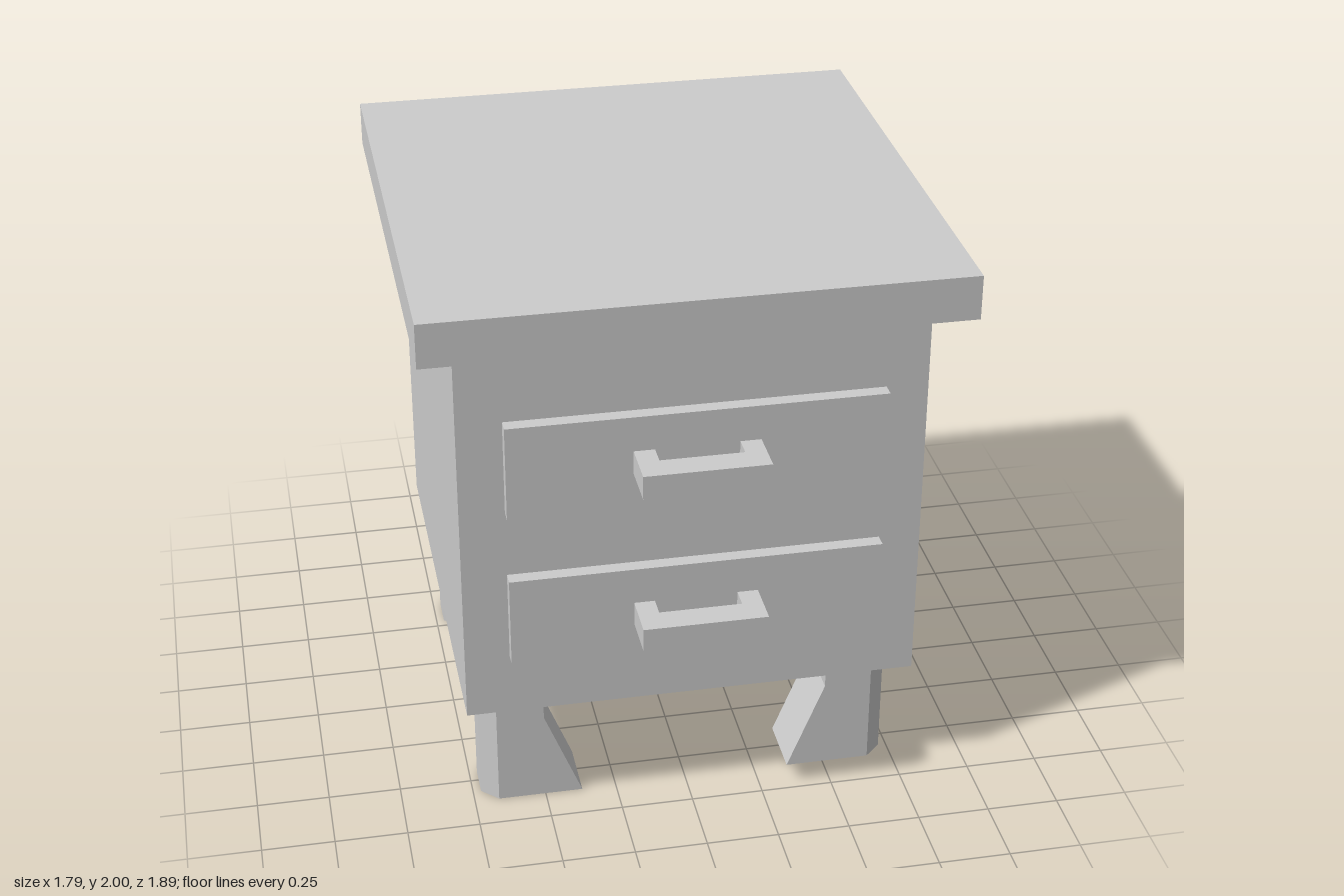
import * as THREE from 'three';

const material = new THREE.MeshStandardMaterial({ color: 0xcccccc, flatShading: true });

function addMesh(parent, name, geometry) {
  const mesh = new THREE.Mesh(geometry, material);
  mesh.name = name;
  parent.add(mesh);
  return mesh;
}

// Box given by its minimum and maximum corners
function addBox(parent, name, [x0, y0, z0], [x1, y1, z1]) {
  const mesh = addMesh(parent, name, new THREE.BoxGeometry(x1 - x0, y1 - y0, z1 - z0));
  mesh.position.set((x0 + x1) / 2, (y0 + y1) / 2, (z0 + z1) / 2);
  return mesh;
}

function shapeFrom(points) {
  return new THREE.Shape(points.map(([x, y]) => new THREE.Vector2(x, y)));
}

// Leg with chamfered outer corners; its inner side flares out towards the floor
function legGeometry() {
  const height = 0.45, kneeY = 0.325, innerX = 0.5, footX = 0.37;
  const plan = shapeFrom([
    [innerX, -0.112], [0.665, -0.112], [0.722, -0.057],
    [0.722, 0.057], [0.665, 0.112], [innerX, 0.112],
  ]);
  const geometry = new THREE.ExtrudeGeometry(plan, { depth: height, steps: 2, bevelEnabled: false });
  geometry.rotateX(-Math.PI / 2);
  const p = geometry.attributes.position;
  for (let i = 0; i < p.count; i++) {
    const y = p.getY(i);
    if (y < 0.01 && p.getX(i) < 0.6) p.setX(i, footX);
    if (y > 0.01 && y < height - 0.01) p.setY(i, kneeY);
  }
  geometry.computeVertexNormals();
  return geometry;
}

// U-shaped pull, lying flat, with its two posts reaching back to the drawer
function handleGeometry(height) {
  const back = 0.775, gap = 0.85, front = 0.943, outer = 0.21, inner = 0.14;
  const plan = shapeFrom([
    [-outer, back], [-inner, back], [-inner, gap], [inner, gap],
    [inner, back], [outer, back], [outer, front], [-outer, front],
  ]);
  const geometry = new THREE.ExtrudeGeometry(plan, { depth: height, bevelEnabled: false });
  return geometry.rotateX(Math.PI / 2).translate(0, height, 0);
}

export function createModel() {
  const model = new THREE.Group();
  model.name = 'nightstand';

  addBox(model, 'tabletop', [-0.897, 1.847, -0.943], [0.897, 2, 0.85]);
  addBox(model, 'cabinet', [-0.776, 0.45, -0.822], [0.776, 1.847, 0.73]);

  // Drawers, each with its handle
  const drawers = [
    { name: 'upperDrawer', bottom: 1.233, top: 1.568, handleY: 1.36 },
    { name: 'lowerDrawer', bottom: 0.672, top: 0.995, handleY: 0.781 },
  ];
  for (const { name, bottom, top, handleY } of drawers) {
    const drawer = new THREE.Group();
    drawer.name = name;
    addBox(drawer, name + 'Front', [-0.625, bottom, 0.725], [0.635, top, 0.778]);
    addMesh(drawer, name + 'Handle', handleGeometry(0.084)).position.y = handleY;
    model.add(drawer);
  }

  // Four legs; the right-hand ones are turned half way round
  const leg = legGeometry();
  for (const [end, z] of [['front', 0.508], ['back', -0.593]]) {
    for (const [side, turn] of [['Left', 0], ['Right', Math.PI]]) {
      const mesh = addMesh(model, end + side + 'Leg', leg);
      mesh.position.z = z;
      mesh.rotation.y = turn;
    }
  }
  return model;
}
